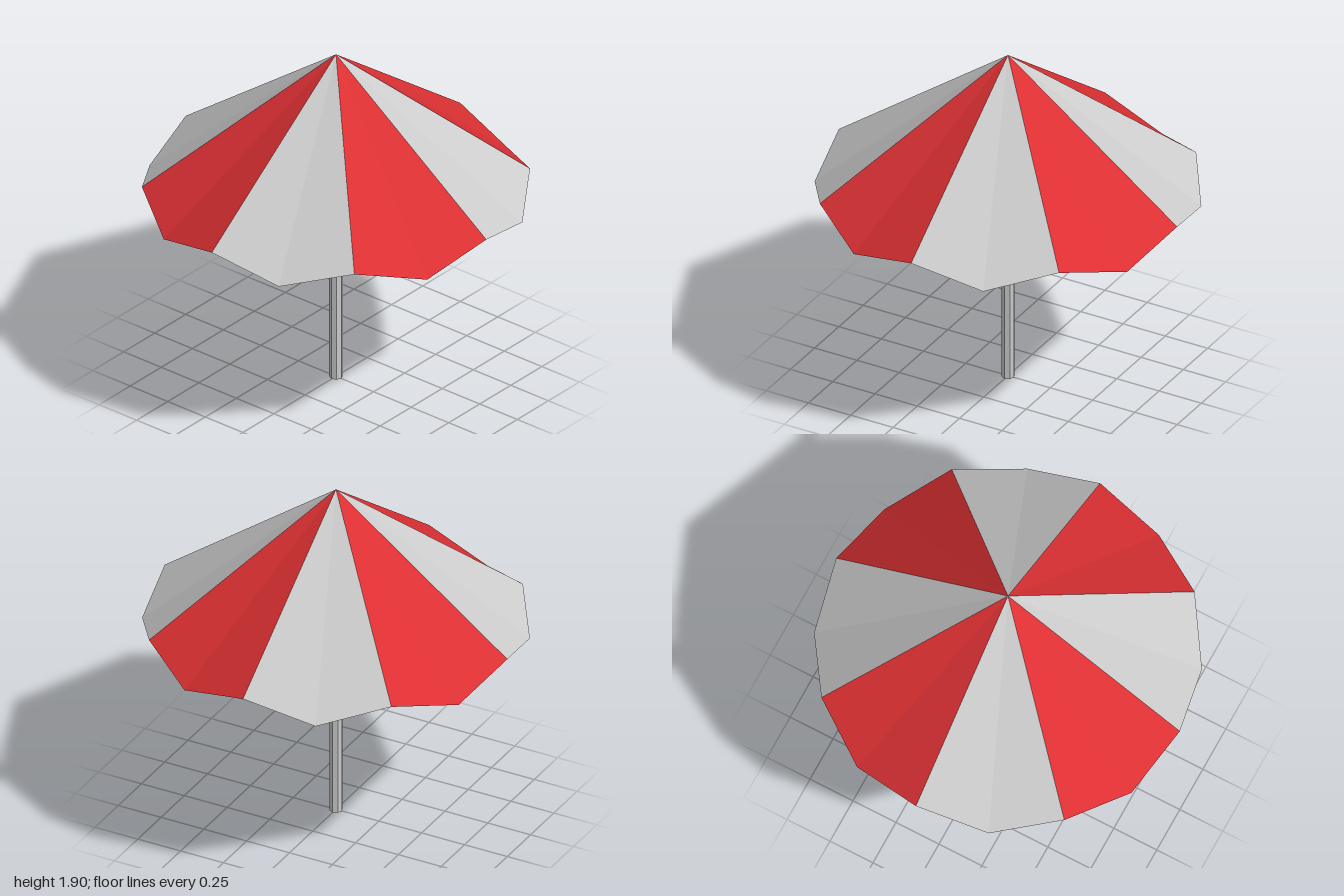
import * as THREE from 'three';

const SIDES = 16;
const RED = 0xdc3033;
const GREY = 0xcccccc;

// Point i of a ring; odd points can hang lower to give a scalloped edge
function ringPoint(i, radius, y, drop = 0) {
  const a = (i / SIDES) * Math.PI * 2;
  return [Math.sin(a) * radius, y - (i % 2 ? drop : 0), Math.cos(a) * radius];
}

function facets(triangles, color, name) {
  const geometry = new THREE.BufferGeometry();
  geometry.setAttribute('position', new THREE.Float32BufferAttribute(triangles.flat(2), 3));
  geometry.computeVertexNormals();
  const mesh = new THREE.Mesh(geometry, new THREE.MeshStandardMaterial({ color, flatShading: true }));
  mesh.name = name;
  return mesh;
}

export function createModel() {
  const group = new THREE.Group();
  group.name = 'parasol';

  const apex = [0, 1.905, 0];
  const ceilingY = 1.42;
  const rim = (i) => ringPoint(i, 1, 1.175, 0.095);
  const lip = (i) => ringPoint(i, 0.975, 1.175, 0.095);
  const ceiling = (i) => ringPoint(i, 0.41, ceilingY);

  // Canopy: eight panels of alternating colour, two facets each
  const canopy = new THREE.Group();
  canopy.name = 'canopy';
  for (let p = 0; p < SIDES / 2; p++) {
    const i = p * 2;
    const triangles = [i, i + 1].map((k) => [apex, rim(k), rim(k + 1)]);
    canopy.add(facets(triangles, p % 2 ? RED : GREY, p % 2 ? 'redPanel' : 'greyPanel'));
  }
  group.add(canopy);

  // Lining: narrow hem, sloped underside and flat ceiling, all facing down
  const hem = [], slope = [], top = [];
  for (let i = 0; i < SIDES; i++) {
    const j = i + 1;
    hem.push([rim(i), lip(i), rim(j)], [rim(j), lip(i), lip(j)]);
    slope.push([lip(i), ceiling(i), lip(j)], [lip(j), ceiling(i), ceiling(j)]);
    top.push([ceiling(i), [0, ceilingY, 0], ceiling(j)]);
  }
  group.add(facets(hem, RED, 'hem'), facets(slope, RED, 'lining'), facets(top, RED, 'ceiling'));

  // Pole
  const pole = new THREE.Mesh(
    new THREE.CylinderGeometry(0.035, 0.035, ceilingY, 8),
    new THREE.MeshStandardMaterial({ color: GREY, flatShading: true })
  );
  pole.name = 'pole';
  pole.position.y = ceilingY / 2;
  group.add(pole);

  return group;
}
